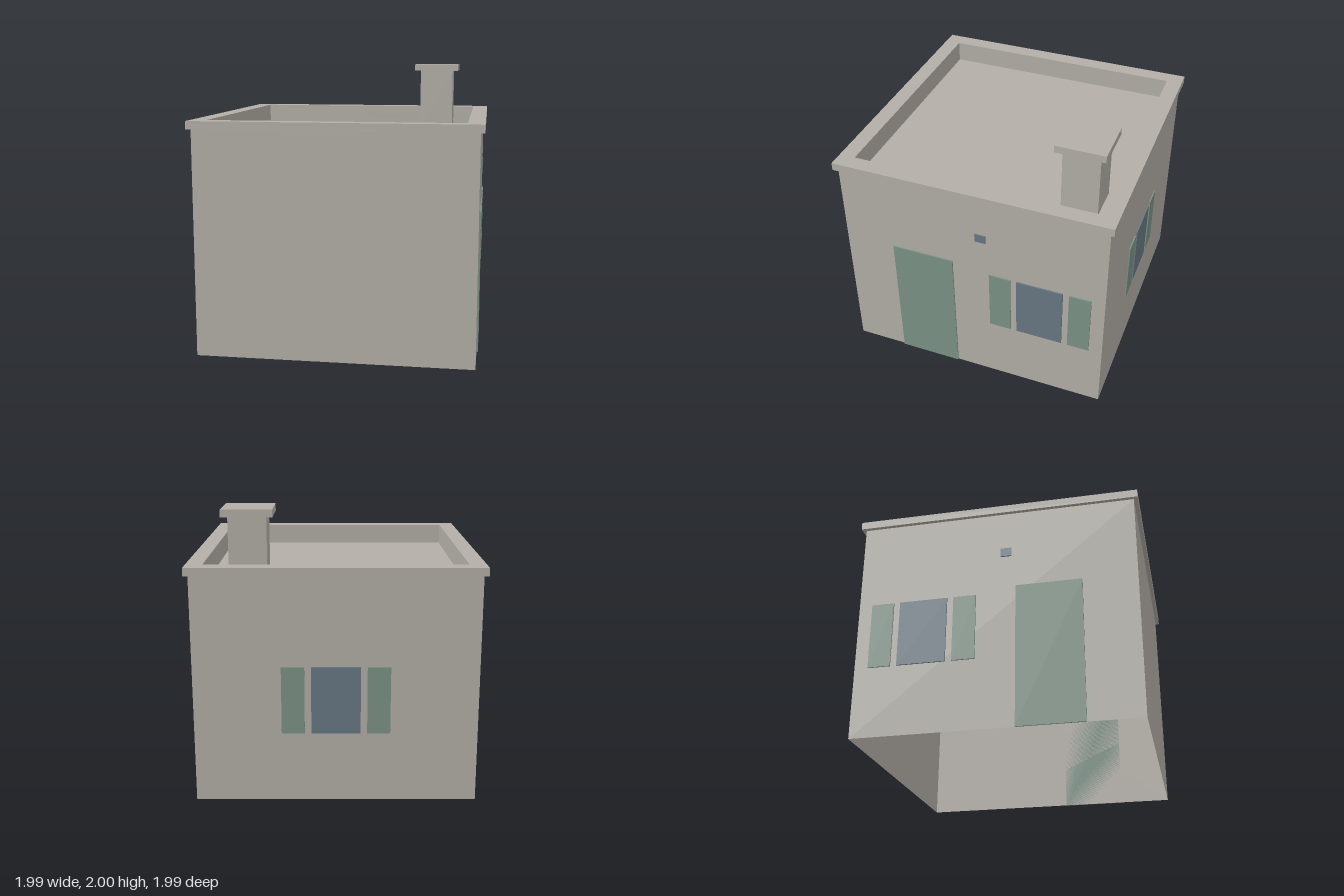
import * as THREE from 'three';

const WALL = 0.967, WALL_TOP = 1.587, ROOF = 0.995, INNER = 0.88, DECK = 1.49;

export function createModel() {
  const model = new THREE.Group();
  model.name = 'house';

  const stone = new THREE.MeshStandardMaterial({ name: 'stone', color: 0xb3afa7, side: THREE.DoubleSide });
  const green = new THREE.MeshStandardMaterial({ name: 'greenPaint', color: 0x7c9286 });
  const glass = new THREE.MeshStandardMaterial({ name: 'blueGlass', color: 0x687883 });

  function add(parent, name, geometry, material, x = 0, y = 0, z = 0) {
    const mesh = new THREE.Mesh(geometry, material);
    mesh.name = name;
    mesh.position.set(x, y, z);
    parent.add(mesh);
    return mesh;
  }

  // Box given by its lower and upper height
  function block(parent, name, w, d, y0, y1, x, z) {
    add(parent, name, new THREE.BoxGeometry(w, y1 - y0, d), stone, x, (y0 + y1) / 2, z);
  }

  // Square ring lying flat between two heights
  function ring(name, outer, inner, y0, y1) {
    const square = (r) => [[-r, -r], [r, -r], [r, r], [-r, r]].map(([x, y]) => new THREE.Vector2(x, y));
    const shape = new THREE.Shape(square(outer));
    shape.holes.push(new THREE.Path(square(inner).reverse()));
    const geometry = new THREE.ExtrudeGeometry(shape, { depth: y1 - y0, bevelEnabled: false });
    geometry.rotateX(-Math.PI / 2);
    add(model, name, geometry, stone, 0, y0, 0);
  }

  // Each side is a group facing outward; local x runs along the wall, local z points out
  const sides = {};
  ['front', 'left', 'back', 'right'].forEach((name, i) => {
    const side = new THREE.Group();
    side.name = name + 'Side';
    side.rotation.y = i * Math.PI / 2;
    add(side, 'wall', new THREE.PlaneGeometry(WALL * 2, WALL_TOP), stone, 0, WALL_TOP / 2, WALL);
    model.add(side);
    sides[name] = side;
  });

  // Thin painted plate on a wall
  function plate(side, name, material, x, w, y0, y1) {
    add(side, name, new THREE.BoxGeometry(w, y1 - y0, 0.0098), material, x, (y0 + y1) / 2, WALL + 0.0049);
  }

  // Window with a pair of shutters
  function shutteredWindow(side, x) {
    plate(side, 'windowPane', glass, x, 0.335, 0.493, 0.963);
    for (const s of [-1, 1]) plate(side, 'shutter', green, x + s * 0.291, 0.157, 0.493, 0.963);
  }

  // Doors towards the front and windows towards the back on both flanks
  for (const [name, s] of [['left', 1], ['right', -1]]) {
    plate(sides[name], 'door', green, -0.37 * s, 0.455, 0, 1.005);
    shutteredWindow(sides[name], 0.502 * s);
    plate(sides[name], 'smallWindow', glass, 0.074, 0.077, 1.243, 1.305);
  }
  shutteredWindow(sides.back, 0);

  // Sunken flat roof, parapet and coping
  const deck = add(model, 'roofDeck', new THREE.PlaneGeometry(INNER * 2, INNER * 2), stone, 0, DECK, 0);
  deck.rotation.x = -Math.PI / 2;
  ring('parapet', WALL - 0.004, INNER, DECK, WALL_TOP);
  ring('coping', ROOF, INNER, WALL_TOP, 1.643);

  // Chimney
  const chimney = new THREE.Group();
  chimney.name = 'chimney';
  chimney.position.set(0.587, 0, -0.68);
  model.add(chimney);
  block(chimney, 'chimneyStack', 0.257, 0.257, DECK, 1.95, 0, 0);
  block(chimney, 'chimneyCap', 0.343, 0.343, 1.95, 2, 0, 0);

  return model;
}
